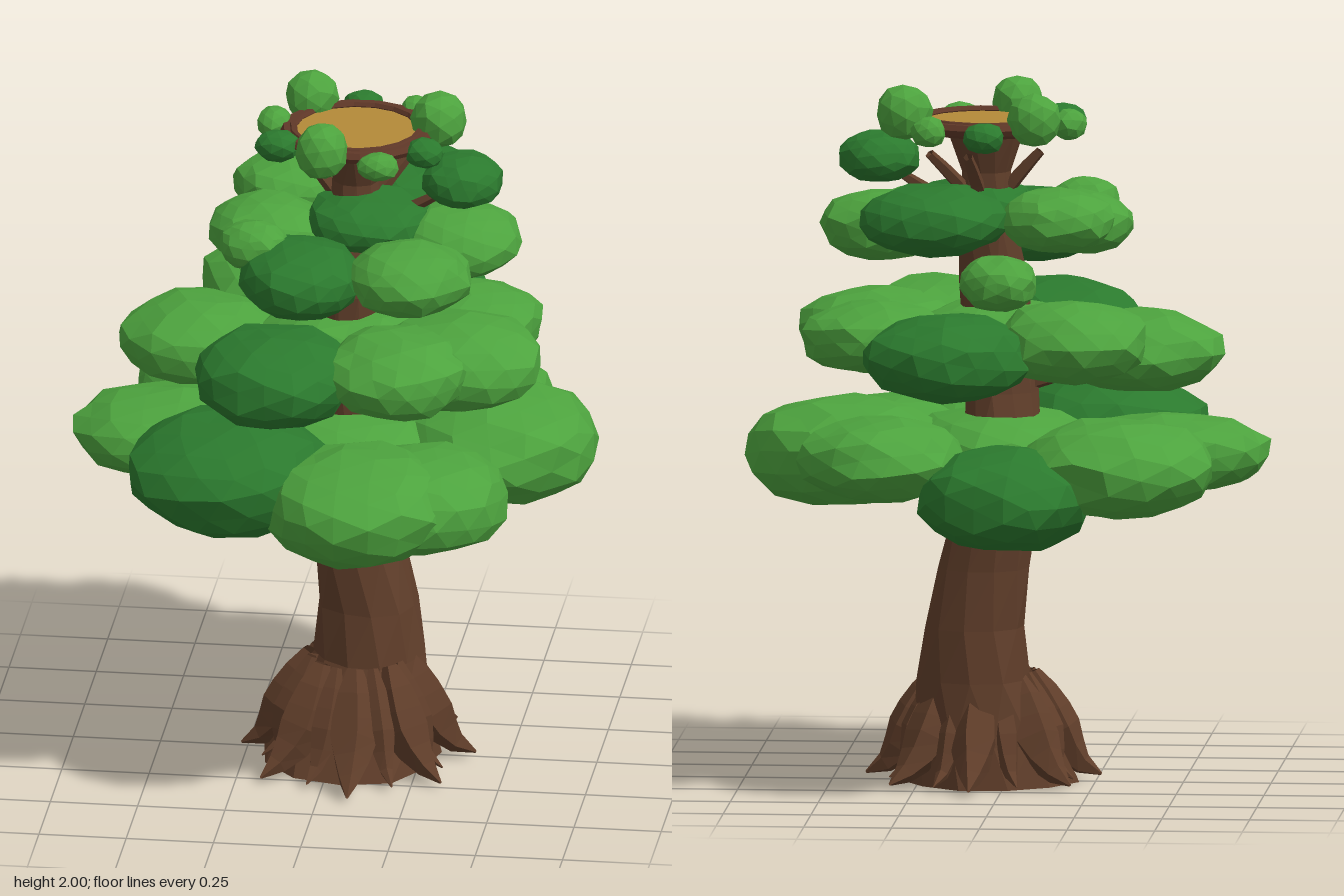
import * as THREE from 'three';

const mat = (name, color, side = THREE.FrontSide) => {
  const m = new THREE.MeshStandardMaterial({ color, flatShading: true, side });
  m.name = name;
  return m;
};

// Repeatable noise in -1..1 from a position, so shared corners move together
const noise = (x, y, z) => {
  const s = Math.sin(Math.round(x * 1e3) * 0.1271 + Math.round(y * 1e3) * 0.3117 + Math.round(z * 1e3) * 0.7473) * 43758.5453;
  return (s - Math.floor(s)) * 2 - 1;
};

// Lumpy leaf cluster, flattened with blunt edges
function clumpGeometry(rx, ry, rz, detail, seed) {
  const g = new THREE.IcosahedronGeometry(1, detail);
  g.rotateY(seed * 1.7);
  g.rotateX(seed * 0.9);
  const p = g.attributes.position;
  for (let i = 0; i < p.count; i++) {
    const x = p.getX(i), y = p.getY(i), z = p.getZ(i);
    const k = 1 + 0.05 * noise(x + seed, y, z);
    const flat = Math.sign(y) * Math.abs(y) ** 0.88;
    p.setXYZ(i, x * k * rx, flat * k * ry, z * k * rz);
  }
  g.computeVertexNormals();
  return g;
}

// Tapered limb following a curve
function limbGeometry(points, radii, segs = 6, sides = 5) {
  const curve = new THREE.CatmullRomCurve3(points.map(p => new THREE.Vector3(...p)));
  const g = new THREE.TubeGeometry(curve, segs, 1, sides);
  const p = g.attributes.position, v = new THREE.Vector3();
  for (let i = 0; i < p.count; i++) {
    const t = Math.floor(i / (sides + 1)) / segs;
    const c = curve.getPointAt(t);
    const f = t * (radii.length - 1), k = Math.min(Math.floor(f), radii.length - 2);
    const r = THREE.MathUtils.lerp(radii[k], radii[k + 1], f - k);
    v.fromBufferAttribute(p, i).sub(c).multiplyScalar(r).add(c);
    p.setXYZ(i, v.x, Math.max(v.y, 0), v.z);
  }
  g.computeVertexNormals();
  return g;
}

// Twisting open trunk lofted through rings of [y, x, z, radius]
function trunkGeometry(rings, sides) {
  const pos = [], idx = [];
  rings.forEach(([y, cx, cz, r], j) => {
    for (let i = 0; i < sides; i++) {
      const a = (i / sides) * Math.PI * 2 - y * 0.9;
      const k = r * (1 + 0.06 * noise(i, j, 3));
      pos.push(cx + Math.sin(a) * k, y, cz + Math.cos(a) * k);
    }
  });
  for (let j = 0; j < rings.length - 1; j++) {
    for (let i = 0; i < sides; i++) {
      const a = j * sides + i, b = j * sides + (i + 1) % sides;
      idx.push(a, b, b + sides, a, b + sides, a + sides);
    }
  }
  const g = new THREE.BufferGeometry();
  g.setAttribute('position', new THREE.Float32BufferAttribute(pos, 3));
  g.setIndex(idx);
  g.computeVertexNormals();
  return g;
}

export function createModel() {
  const root = new THREE.Group();
  root.name = 'tree';
  const bark = mat('bark brown', 0x603e2a, THREE.DoubleSide);
  const rim = mat('rim brown', 0x603828);
  const wood = mat('cut wood', 0xb48a39);
  const light = mat('light leaf green', 0x4da33e);
  const dark = mat('dark leaf green', 0x2b7a2e);

  const add = (parent, name, geometry, material, x = 0, y = 0, z = 0) => {
    const m = new THREE.Mesh(geometry, material);
    m.name = name;
    m.position.set(x, y, z);
    parent.add(m);
    return m;
  };
  const group = name => {
    const g = new THREE.Group();
    g.name = name;
    root.add(g);
    return g;
  };

  // Trunk
  add(root, 'trunk', trunkGeometry([
    [0, 0.05, 0.015, 0.25], [0.12, 0.06, 0, 0.21], [0.3, 0.095, -0.035, 0.165],
    [0.45, 0.092, -0.04, 0.146], [0.62, 0.065, -0.05, 0.13], [0.8, 0.025, -0.06, 0.12],
    [0.95, 0.015, -0.03, 0.115], [1.12, 0.02, 0, 0.105], [1.43, 0.04, 0.025, 0.1],
    [1.62, 0.06, 0, 0.08], [1.75, 0.06, -0.01, 0.07], [1.88, 0.06, -0.01, 0.11],
  ], 11), bark);

  // Flaring roots: broad long ones with slimmer short ones between
  const roots = group('roots');
  const count = 16;
  for (let i = 0; i < count; i++) {
    const a = (i / count) * Math.PI * 2 + 0.06 * noise(i, 1, 2);
    const main = i % 2 === 0;
    const reach = (main ? 0.36 : 0.3) + 0.025 * Math.cos(2 * a);
    const w = main ? 1 : 0.6;
    const at = (r, y) => [0.07 + Math.sin(a) * r, y, 0.02 + Math.cos(a) * r];
    add(roots, main ? 'root' : 'smallRoot', limbGeometry(
      [at(0.135, 0.31), at(0.165, 0.24), at(0.215, 0.13), at(reach * 0.8, 0.055), at(reach, 0.018)],
      [0.025, 0.065, 0.072, 0.046, 0.004].map(r => r * w), 6, 5), bark);
  }

  // Branches reaching the leaf tiers
  const branches = group('branches');
  const limbs = [
    [[0.03, 0.78, -0.1], [-0.02, 0.93, -0.35], 0.04], [[0.03, 0.72, -0.08], [0.2, 0.88, -0.1], 0.03],
    [[0.02, 1.13, 0], [-0.3, 1.25, 0], 0.035], [[0.03, 1.13, 0], [0.33, 1.27, 0.1], 0.035],
    [[0.06, 1.62, 0], [0.36, 1.77, 0.04], 0.025],
  ];
  for (const [a, b, r] of limbs) {
    const mid = a.map((v, i) => (v + b[i]) / 2 - (i === 1 ? 0.02 : 0));
    add(branches, 'branch', limbGeometry([a, mid, b], [r, r * 0.8, r * 0.4], 4, 5), bark);
  }
  // Twigs splaying below the bowl
  for (const [x, z] of [[-0.155, -0.02], [0.155, -0.1], [0.04, -0.16]]) {
    const at = (k, y) => [0.06 + x * k, y, -0.01 + z * k];
    add(branches, 'twig', limbGeometry([at(0.3, 1.68), at(0.6, 1.74), at(1, 1.81)], [0.022, 0.02, 0.014], 3, 5), bark);
  }

  // Bowl at the top: stepped rim and cut wood face
  const bowl = group('bowl');
  bowl.position.set(0.06, 0, -0.01);
  add(bowl, 'bowlBase', new THREE.CylinderGeometry(0.185, 0.16, 0.03, 20), rim, 0, 1.875, 0);
  add(bowl, 'cutWoodFace', new THREE.CylinderGeometry(0.175, 0.175, 0.008, 24), wood, 0, 1.893, 0);
  for (const [name, radius, tube, y] of [['innerRim', 0.182, 0.012, 1.9], ['outerRim', 0.2, 0.018, 1.89]]) {
    add(bowl, name, new THREE.TorusGeometry(radius, tube, 6, 18), rim, 0, y, 0).rotation.x = Math.PI / 2;
  }

  // Leaf clumps: [x, y, z, rx, ry, rz, dark]; the last of each main tier wraps the trunk
  const tiers = {
    lowestLeaves: [
      [0.46, 0.95, -0.06, 0.29, 0.155, 0.29], [-0.47, 0.95, -0.01, 0.285, 0.11, 0.24],
      [-0.26, 0.97, 0.33, 0.295, 0.16, 0.285, 1], [0.13, 0.935, 0.45, 0.27, 0.155, 0.28],
      [0.3, 0.925, 0.35, 0.24, 0.14, 0.26], [-0.34, 0.95, -0.36, 0.28, 0.14, 0.27],
      [-0.03, 0.87, -0.45, 0.25, 0.15, 0.28, 1], [0.33, 0.965, -0.35, 0.24, 0.12, 0.24],
      [0.02, 0.96, 0.02, 0.28, 0.11, 0.28],
    ],
    middleLeaves: [
      [-0.37, 1.24, -0.01, 0.245, 0.115, 0.235], [0.37, 1.27, 0.14, 0.245, 0.12, 0.24],
      [-0.13, 1.27, 0.33, 0.23, 0.13, 0.24, 1], [0.22, 1.29, 0.31, 0.21, 0.115, 0.23],
      [-0.21, 1.3, -0.3, 0.22, 0.12, 0.22], [0.14, 1.265, -0.4, 0.24, 0.125, 0.24, 1],
      [0.37, 1.285, -0.12, 0.215, 0.1, 0.21], [0.03, 1.285, 0.02, 0.24, 0.09, 0.24],
    ],
    upperLeaves: [
      [-0.06, 1.56, 0.29, 0.175, 0.105, 0.19, 1], [0.25, 1.57, 0.285, 0.175, 0.095, 0.18],
      [0.36, 1.59, 0.02, 0.175, 0.1, 0.18], [-0.19, 1.6, 0.03, 0.17, 0.09, 0.17],
      [-0.16, 1.64, -0.22, 0.16, 0.09, 0.16], [0.19, 1.64, -0.25, 0.21, 0.1, 0.21, 1],
      [0, 1.47, -0.32, 0.11, 0.08, 0.115], [-0.2, 1.63, 0.24, 0.1, 0.07, 0.09],
      [0.37, 1.78, 0.04, 0.115, 0.075, 0.12, 1], [0.1, 1.645, 0.03, 0.18, 0.08, 0.18, 1],
    ],
    crownLeaves: [
      [-0.09, 1.92, -0.19, 0.075, 0.077, 0.08], [0.05, 1.875, -0.25, 0.06, 0.045, 0.05, 1],
      [0.21, 1.885, -0.2, 0.05, 0.045, 0.05], [0.29, 1.92, -0.06, 0.08, 0.08, 0.08],
      [0.27, 1.88, 0.1, 0.055, 0.042, 0.055, 1], [0.15, 1.875, 0.21, 0.06, 0.04, 0.05],
      [-0.01, 1.915, 0.21, 0.075, 0.08, 0.08], [-0.15, 1.885, 0.11, 0.065, 0.045, 0.055, 1],
      [-0.18, 1.89, -0.05, 0.05, 0.045, 0.06],
    ],
  };
  let seed = 1;
  for (const [name, clumps] of Object.entries(tiers)) {
    const g = group(name);
    const detail = name === 'crownLeaves' ? 1 : 2;
    for (const [x, y, z, rx, ry, rz, isDark] of clumps) {
      add(g, 'leafClump', clumpGeometry(rx, ry, rz, detail, seed++), isDark ? dark : light, x, y, z);
    }
  }
  return root;
}
